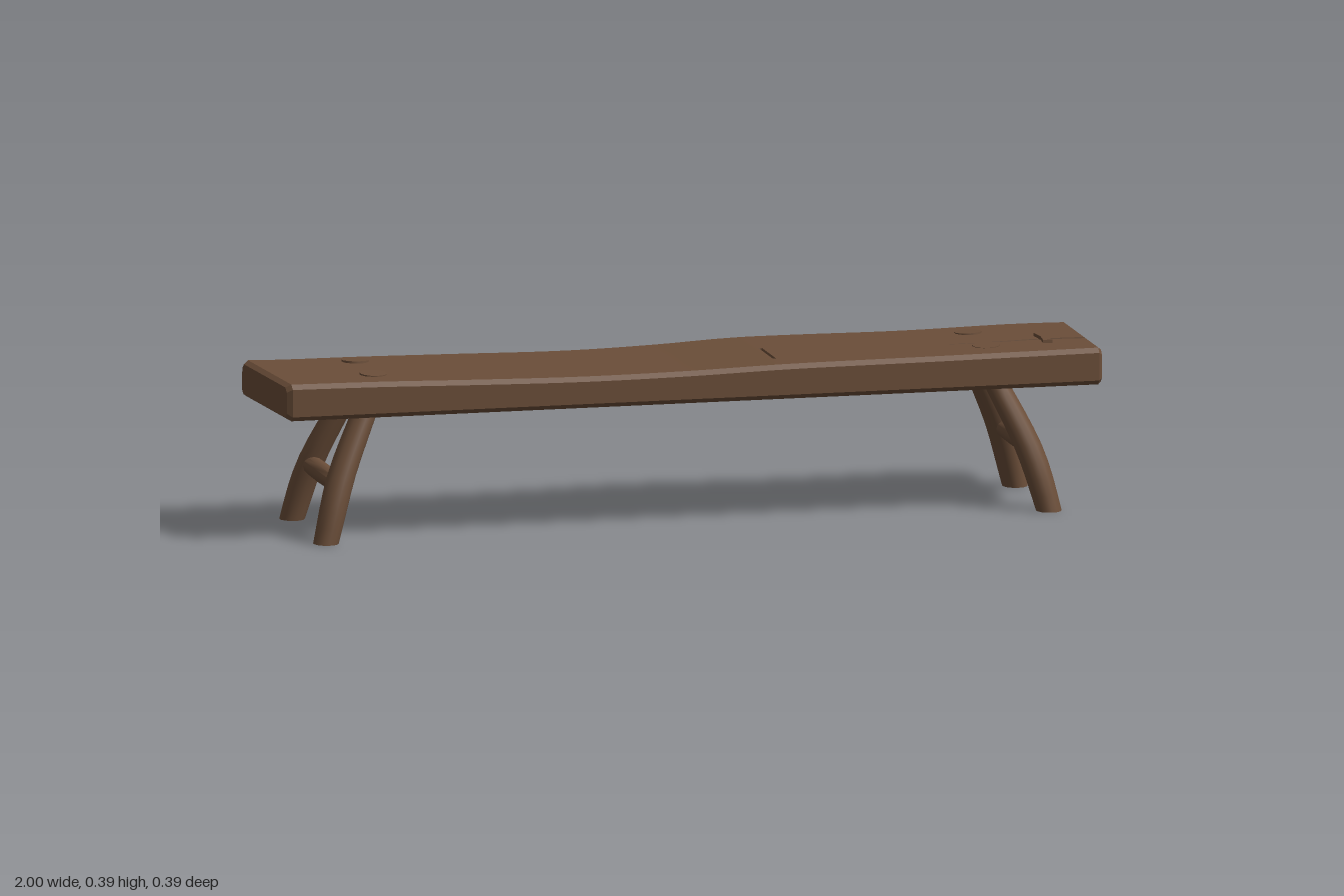
import * as THREE from 'three';
import { toCreasedNormals } from 'three/addons/utils/BufferGeometryUtils.js';

const wood = new THREE.MeshStandardMaterial({ color: 0x6b4e39 });
wood.name = 'brown wood';

// Piecewise linear lookup in [position, value] pairs
function lookup(pairs, t) {
  if (t <= pairs[0][0]) return pairs[0][1];
  for (let i = 1; i < pairs.length; i++) {
    const [a, va] = pairs[i - 1], [b, vb] = pairs[i];
    if (t <= b) return va + (vb - va) * (t - a) / (b - a);
  }
  return pairs[pairs.length - 1][1];
}

// Smooth curve through [position, value] pairs
function smooth(pairs) {
  const pts = new THREE.SplineCurve(pairs.map(p => new THREE.Vector2(...p))).getPoints(80);
  return t => lookup(pts.map(p => [p.x, p.y]), t);
}

const topY = smooth([[-1, 0.387], [-0.75, 0.384], [-0.5, 0.378], [-0.25, 0.374], [0, 0.376], [0.25, 0.382], [0.6, 0.384], [1, 0.387]]);
const backZ = smooth([[-1, -0.16], [-0.87, -0.152], [-0.5, -0.168], [-0.2, -0.166], [0, -0.178], [0.18, -0.195], [0.36, -0.186], [0.6, -0.17], [0.85, -0.18], [1, -0.166]]);
const crackZ = [[0.68, 0.047], [0.78, 0.046], [0.88, 0.039], [0.95, 0.046], [1, 0.053]];

// Cross-section at x as [z, y] points, anticlockwise from the right end
function section(x, inset, groove) {
  const b = 0.011;
  const z0 = backZ(x) + inset, z1 = 0.194 - inset;
  const y0 = 0.299 + inset, y1 = topY(x) - inset;
  const open = Math.max(0, (x - 0.68) / 0.32);
  const c = lookup(crackZ, x), w = 0.002 + 0.006 * open;
  const dip = y1 - groove;
  return [
    [z1 - b, y0], [z0 + b, y0], [z0, y0 + b], [z0 + 0.003, y1 - b], [z0 + b + 0.004, y1],
    [-0.03, y1], [-0.028, dip],
    [c - w, dip], [c, dip - (open > 0 ? 0.012 + 0.044 * open : 0)], [c + w, dip],
    [0.108, dip], [0.11, y1],
    [z1 - b, y1], [z1, y1 - b], [z1, y0 + b],
  ];
}

// Plank with wavy back edge, sagging top, end crack and a cross groove
function plankGeometry() {
  const stops = [[-1, 0.008], [-0.988, 0]];
  for (let x = -0.95; x < 0.97; x += 0.05) stops.push([x, 0]);
  stops.push([0.221, 0], [0.225, 0, 0.01], [0.229, 0], [0.99, 0], [0.998, 0.006]);
  stops.sort((a, b) => a[0] - b[0]);
  const rings = stops.map(([x, inset, groove = 0]) => section(x, inset, groove));
  const n = rings[0].length, pos = [], idx = [];
  rings.forEach((ring, i) => ring.forEach(([z, y]) => {
    const skew = i < 2 ? 0.025 * (z + 0.16) / 0.35 : 0;
    pos.push(stops[i][0] + skew, y, z);
  }));
  for (let i = 0; i < rings.length - 1; i++) {
    for (let j = 0; j < n; j++) {
      const k = (j + 1) % n;
      const a = i * n + j, b = a + n, c = (i + 1) * n + k, d = i * n + k;
      idx.push(a, c, b, a, d, c);
    }
  }
  // End caps
  [0, rings.length - 1].forEach(i => {
    const flat = rings[i].map(([z, y]) => new THREE.Vector2(-z, y));
    THREE.ShapeUtils.triangulateShape(flat, []).forEach(([a, b, c]) => {
      const o = i * n;
      if (i) idx.push(o + a, o + b, o + c);
      else idx.push(o + a, o + c, o + b);
    });
  });
  const g = new THREE.BufferGeometry();
  g.setAttribute('position', new THREE.Float32BufferAttribute(pos, 3));
  g.setIndex(idx);
  return toCreasedNormals(g, 0.35);
}

// Bent, splayed leg with flat foot
const legX = smooth([[0, 0.875], [0.15, 0.832], [0.31, 0.758]]);
const legZ = smooth([[0, 0.164], [0.11, 0.146], [0.31, 0.09]]);
function legGeometry(sx, sz) {
  const g = new THREE.CylinderGeometry(1, 1, 0.31, 14, 8);
  g.translate(0, 0.155, 0);
  const p = g.attributes.position;
  for (let i = 0; i < p.count; i++) {
    const y = p.getY(i);
    const swell = 1 + 0.12 * Math.sin(Math.PI * y / 0.31);
    p.setX(i, sx * legX(y) + p.getX(i) * 0.03 * swell);
    p.setZ(i, sz * legZ(y) + p.getZ(i) * 0.033 * swell);
  }
  return toCreasedNormals(g, 0.7);
}

// Round rail with pointed ends, running along z
function railGeometry() {
  const profile = [[0, -0.139], [0.014, -0.134], [0.023, -0.12], [0.024, 0], [0.023, 0.12], [0.014, 0.134], [0, 0.139]];
  const g = new THREE.LatheGeometry(profile.map(p => new THREE.Vector2(...p)), 12);
  return toCreasedNormals(g.rotateX(Math.PI / 2), 0.7);
}

export function createModel() {
  const model = new THREE.Group();
  model.name = 'bench';
  const add = (name, geometry, x = 0, y = 0, z = 0) => {
    const mesh = new THREE.Mesh(geometry, wood);
    mesh.name = name;
    mesh.position.set(x, y, z);
    model.add(mesh);
    return mesh;
  };

  add('plank', plankGeometry());

  for (const sx of [-1, 1]) {
    const side = sx > 0 ? 'left' : 'right';
    for (const sz of [-1, 1]) {
      const end = sz > 0 ? 'Front' : 'Back';
      add(side + end + 'Leg', legGeometry(sx, sz));
      // Leg tenon showing through the plank
      const peg = add(side + end + 'Peg', new THREE.CylinderGeometry(0.032, 0.033, 0.02, 14), sx * 0.742, 0.3775, sz * 0.087);
      peg.rotation.set(sz * 0.05, 0, sx * 0.03);
    }
    add(side + 'Rail', railGeometry(), sx * 0.838, sx > 0 ? 0.149 : 0.134, -0.018);
  }

  // Wooden key bridging the crack
  const key = new THREE.Shape([[-0.011, -0.048], [0.011, -0.048], [0.006, 0], [0.011, 0.048], [-0.011, 0.048], [-0.006, 0]].map(p => new THREE.Vector2(...p)));
  const keyGeometry = new THREE.ExtrudeGeometry(key, { depth: 0.03, bevelEnabled: false });
  add('crackKey', keyGeometry.rotateX(-Math.PI / 2), 0.89, 0.364, 0.046);

  return model;
}
